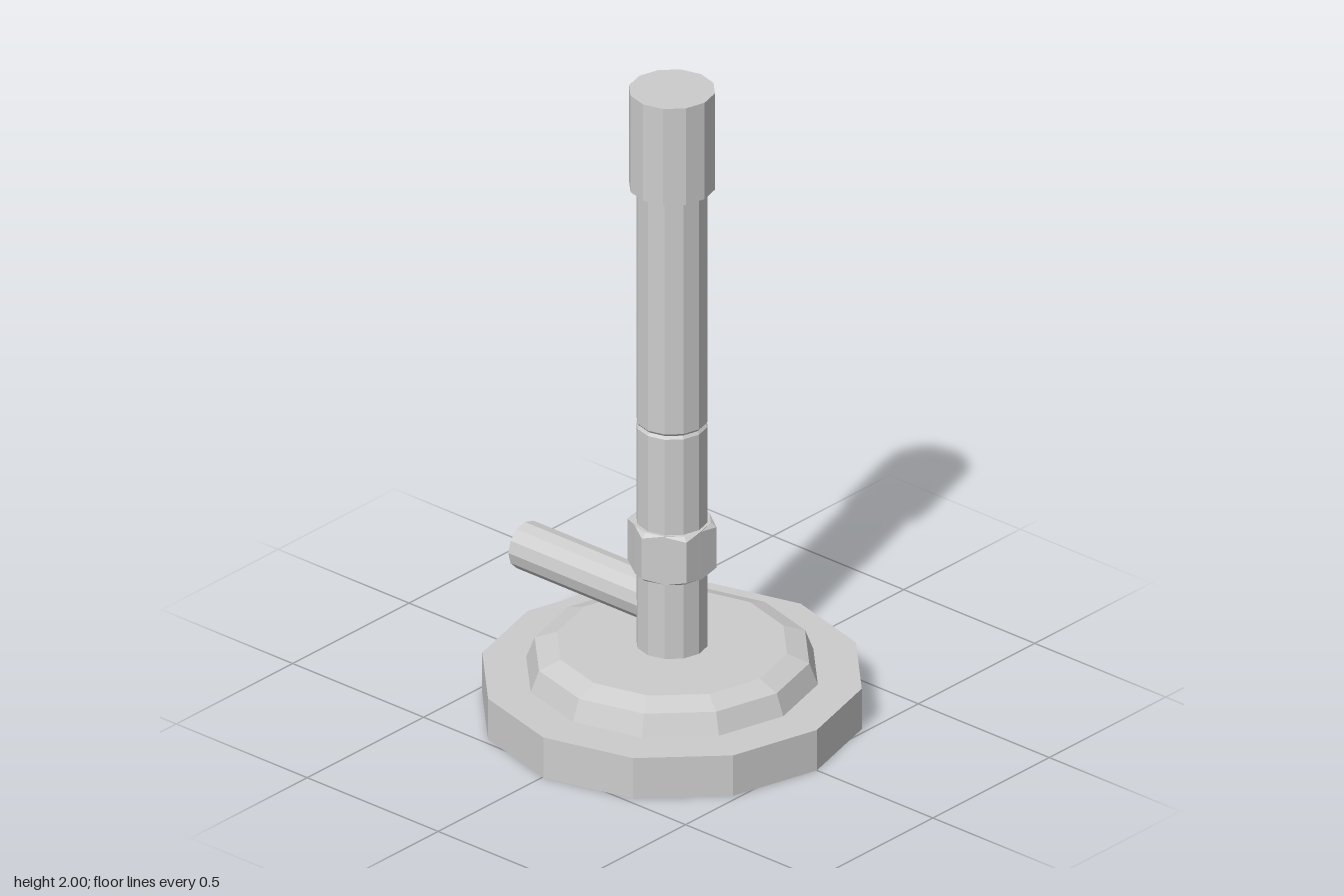
import * as THREE from 'three';

const SIDES = 12;

export function createModel() {
  const model = new THREE.Group();
  model.name = 'burner';
  const metal = new THREE.MeshStandardMaterial({ color: 0xcccccc });
  metal.name = 'grey metal';
  metal.flatShading = true;

  const add = (name, geometry) => {
    const mesh = new THREE.Mesh(geometry, metal);
    mesh.name = name;
    model.add(mesh);
    return mesh;
  };
  // Faceted turned part from [radius, y] points, bottom to top
  const turned = (name, points) =>
    add(name, new THREE.LatheGeometry(points.map(([r, y]) => new THREE.Vector2(r, y)), SIDES));

  // Wide foot with a stepped, bevelled top
  turned('base', [
    [0, 0], [0.553, 0], [0.553, 0.13], [0.425, 0.13],
    [0.4, 0.195], [0.335, 0.22], [0, 0.22],
  ]);

  // Lower stem and air collar, upper barrel and wide mouth
  turned('stem', [[0, 0.2], [0.104, 0.2], [0.104, 0.925], [0.097, 0.935], [0, 0.935]]);
  turned('barrel', [[0, 0.93], [0.097, 0.933], [0.104, 0.942], [0.104, 1.7], [0, 1.7]]);
  turned('mouth', [[0, 1.69], [0.125, 1.69], [0.125, 2], [0, 2]]);

  // Hexagonal nut: 12 columns alternate corners and flats, corners bevelled
  const half = 0.078, flat = 0.113, corner = 0.13;
  const nut = new THREE.CylinderGeometry(1, 1, 3, SIDES, 3);
  const p = nut.attributes.position;
  for (let i = 0; i < p.count; i++) {
    const x = p.getX(i), y = p.getY(i), z = p.getZ(i);
    if (Math.hypot(x, z) < 0.5) {
      p.setY(i, Math.sign(y) * half);
      continue;
    }
    const column = Math.round(Math.atan2(z, x) / (Math.PI / 6));
    const isCorner = column % 2 === 0;
    const isEnd = Math.abs(y) > 1;
    const r = isCorner && !isEnd ? corner : flat;
    const level = isEnd ? half : isCorner ? half - 0.013 : half - 0.002;
    p.setXYZ(i, x * r, Math.sign(y) * level, z * r);
  }
  nut.computeVertexNormals();
  add('nut', nut).position.y = 0.54;

  // Gas inlet pointing to the back
  const inlet = new THREE.CylinderGeometry(0.072, 0.072, 0.53, SIDES);
  inlet.rotateX(Math.PI / 2);
  add('gasInlet', inlet).position.set(0, 0.342, -0.296);

  // Centre the depth between base front and inlet end
  for (const part of model.children) part.position.z += 0.004;
  return model;
}
